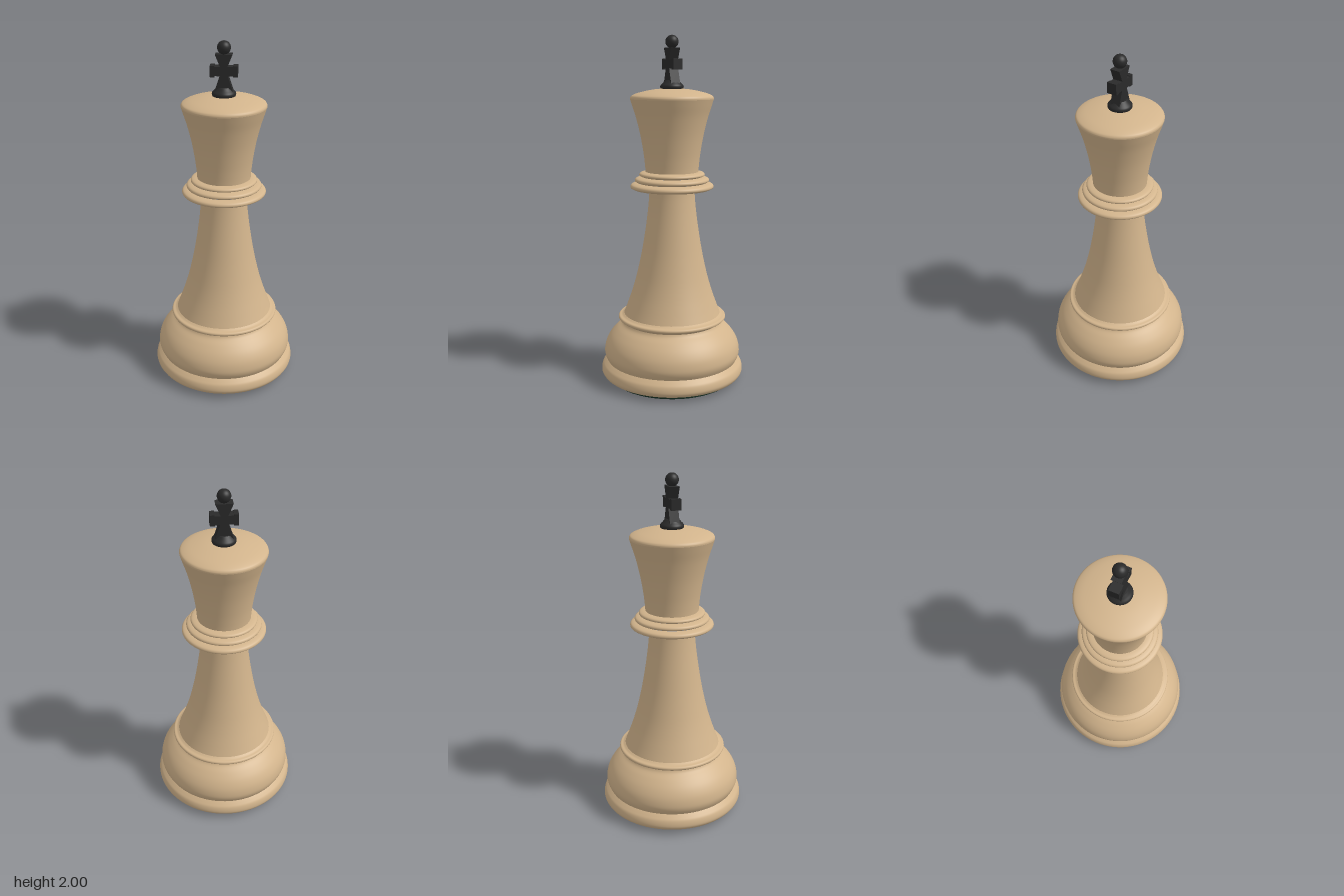
import * as THREE from 'three';

const wood = new THREE.MeshStandardMaterial({ color: 0xd2b48c });
const ebony = new THREE.MeshStandardMaterial({ color: 0x2a2a2a });
const felt = new THREE.MeshStandardMaterial({ color: 0x1a3226 });

function add(parent, name, geometry, material) {
  const mesh = new THREE.Mesh(geometry, material);
  mesh.name = name;
  parent.add(mesh);
  return mesh;
}

// Smooth turned section: a spline through [radius, height] points, bottom to top
function turned(parent, name, points, material = wood, samples = 28) {
  const curve = new THREE.SplineCurve(points.map(([r, y]) => new THREE.Vector2(r, y)));
  const profile = curve.getPoints(samples);
  profile.forEach((p) => { p.x = Math.max(p.x, 0); });
  return add(parent, name, new THREE.LatheGeometry(profile, 80), material);
}

// Flat ring or disc facing up or down, as a sharp-edged section
function disc(parent, name, inner, outer, y, material = wood) {
  const points = [new THREE.Vector2(inner, y), new THREE.Vector2(outer, y)];
  return add(parent, name, new THREE.LatheGeometry(points, 80), material);
}

export function createModel() {
  const model = new THREE.Group();
  model.name = 'chessKing';

  // Felt pad
  const pad = add(model, 'feltPad', new THREE.CylinderGeometry(0.37, 0.365, 0.03, 80), felt);
  pad.position.y = 0.015;

  // Foot, bulge and ring
  const base = new THREE.Group();
  base.name = 'base';
  model.add(base);
  disc(base, 'footUnderside', 0, 0.38, 0.022);
  turned(base, 'foot', [[0.38, 0.022], [0.405, 0.027], [0.419, 0.045], [0.42, 0.065],
    [0.413, 0.088], [0.4, 0.104], [0.386, 0.118]]);
  turned(base, 'bulge', [[0.386, 0.118], [0.398, 0.145], [0.401, 0.175], [0.391, 0.22],
    [0.366, 0.265], [0.33, 0.305], [0.298, 0.332], [0.288, 0.348]]);
  turned(base, 'bulgeRing', [[0.288, 0.348], [0.3, 0.358], [0.313, 0.364], [0.317, 0.373],
    [0.312, 0.382], [0.296, 0.387], [0.283, 0.395]]);

  // Flared stem
  turned(model, 'stem', [[0.283, 0.395], [0.262, 0.45], [0.234, 0.53], [0.208, 0.62],
    [0.181, 0.74], [0.16, 0.86], [0.143, 0.98], [0.133, 1.08], [0.131, 1.135]], wood, 40);

  // Three stacked collar rings
  const collar = new THREE.Group();
  collar.name = 'collar';
  model.add(collar);
  disc(collar, 'collarUnderside', 0.12, 0.222, 1.133);
  const rings = [[0.24, 1.133, 0.038], [0.214, 1.171, 0.034], [0.189, 1.205, 0.03]];
  rings.forEach(([r, y, h], i) => {
    turned(collar, 'collarRing' + (i + 1), [[r - 0.018, y], [r - 0.003, y + h * 0.2],
      [r, y + h * 0.45], [r - 0.006, y + h * 0.72], [r - 0.022, y + h * 0.9], [r - 0.042, y + h]]);
  });

  // Flared head with domed top
  turned(model, 'head', [[0.152, 1.225], [0.155, 1.27], [0.163, 1.34], [0.18, 1.44],
    [0.204, 1.54], [0.226, 1.61], [0.237, 1.645]], wood, 32);
  turned(model, 'headTop', [[0.237, 1.645], [0.236, 1.656], [0.224, 1.668], [0.18, 1.684],
    [0.1, 1.7], [0, 1.708]]);

  // Finial: foot, cross and ball
  const finial = new THREE.Group();
  finial.name = 'finial';
  model.add(finial);
  turned(finial, 'finialFoot', [[0.058, 1.695], [0.066, 1.71], [0.064, 1.723], [0.05, 1.738],
    [0.038, 1.752]], ebony);
  disc(finial, 'finialFootTop', 0.038, 0, 1.752, ebony);

  const half = [[0.05, 1.73], [0.022, 1.815], [0.05, 1.815], [0.05, 1.809], [0.075, 1.809],
    [0.075, 1.87], [0.05, 1.87], [0.05, 1.865], [0.02, 1.865], [0.047, 1.93]];
  const outline = [...half, ...half.map(([x, y]) => [-x, y]).reverse()];
  const shape = new THREE.Shape(outline.map(([x, y]) => new THREE.Vector2(x, y)));
  const cross = new THREE.ExtrudeGeometry(shape, { depth: 0.056, bevelEnabled: false });
  cross.translate(0, 0, -0.028);
  add(finial, 'cross', cross, ebony);

  const ball = add(finial, 'ball', new THREE.SphereGeometry(0.037, 32, 20), ebony);
  ball.position.y = 1.963;

  // Flat faces seen from below are wound downward
  for (const name of ['footUnderside', 'collarUnderside']) {
    model.getObjectByName(name).material = new THREE.MeshStandardMaterial({
      color: 0xd2b48c, side: THREE.DoubleSide });
  }
  model.getObjectByName('finialFootTop').material = new THREE.MeshStandardMaterial({
    color: 0x2a2a2a, side: THREE.DoubleSide });
  return model;
}
